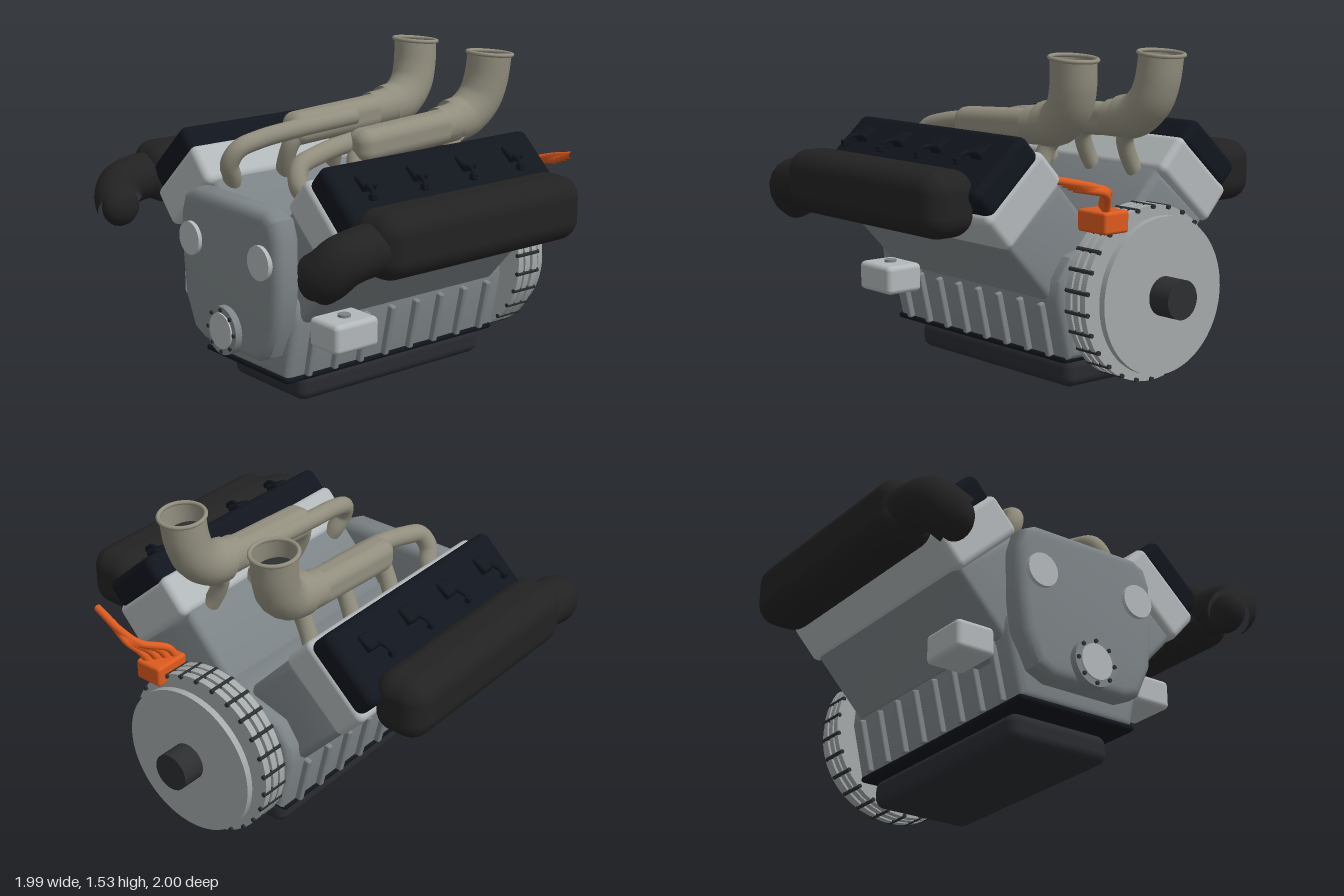
import * as THREE from 'three';
import { toCreasedNormals } from 'three/addons/utils/BufferGeometryUtils.js';
import { RoundedBoxGeometry } from 'three/addons/geometries/RoundedBoxGeometry.js';

const mat = (color, side = THREE.FrontSide) => new THREE.MeshStandardMaterial({ color, side });
const M = {
  block: mat(0x7d8487), head: mat(0xb2b7b9), cover: mat(0x11151d), manifold: mat(0x222222),
  pan: mat(0x292b30), intake: mat(0x918e7e, THREE.DoubleSide), wheel: mat(0xa4a9a9),
  orange: mat(0xdd5a1e), dark: mat(0x2c2e30),
};

export function createModel() {
  const root = new THREE.Group();
  root.name = 'engine';

  const add = (name, geo, material, pos = [0, 0, 0], rotX = 0) => {
    const m = new THREE.Mesh(geo, material);
    m.name = name;
    m.position.set(...pos);
    m.rotation.x = rotX;
    root.add(m);
    return m;
  };
  // Rounded box given by size and centre
  const rbox = (name, size, r, material, pos, rotX) =>
    add(name, new RoundedBoxGeometry(...size, 4, r), material, pos, rotX);
  // Cylinder lying along x, from x0 to x1
  const disc = (name, r, x0, x1, y, z, material, seg = 48) =>
    add(name, new THREE.CylinderGeometry(r, r, x1 - x0, seg).rotateZ(Math.PI / 2), material, [(x0 + x1) / 2, y, z]);
  const tube = (name, pts, r, material, seg = 40) =>
    add(name, new THREE.TubeGeometry(
      new THREE.CatmullRomCurve3(pts.map((p) => new THREE.Vector3(...p))), seg, r, 20), material);
  // (z, y) outline swept along x with rounded edges
  const sweep = (name, pts, x0, x1, bevel, material) => {
    const shape = new THREE.Shape(pts.map((p) => new THREE.Vector2(...p)));
    const geo = new THREE.ExtrudeGeometry(shape, {
      depth: x1 - x0 - 2 * bevel, bevelThickness: bevel, bevelSize: bevel, bevelOffset: -bevel, bevelSegments: 4,
    }).rotateY(-Math.PI / 2).translate(x1 - bevel, 0, 0);
    return add(name, toCreasedNormals(geo, 0.6), material);
  };
  const mirrored = (pts) => [...pts, ...pts.map(([z, y]) => [-z, y]).reverse()];

  // Crankcase, front cover and oil pan
  sweep('crankcase', mirrored([[0.31, 0.15], [0.37, 0.42], [0.36, 0.52], [0.29, 0.62], [0.07, 0.68]]),
    -0.72, 0.585, 0.04, M.block);
  sweep('frontCover', mirrored([[0.2, 0.23], [0.29, 0.27], [0.36, 0.42], [0.38, 0.6], [0.38, 0.83], [0.35, 0.92], [0.28, 0.955]]),
    -0.815, -0.67, 0.05, M.block);
  rbox('panGasket', [1.28, 0.03, 0.64], 0.014, M.cover, [-0.08, 0.148, 0]);
  rbox('oilPan', [1.13, 0.14, 0.54], 0.05, M.pan, [-0.035, 0.07, 0]);

  // Crank pulley and bosses on the front cover
  disc('crankSeal', 0.115, -0.85, -0.78, 0.34, 0, M.block);
  disc('crankSealCentre', 0.085, -0.858, -0.84, 0.34, 0, M.head);
  for (let i = 0; i < 8; i++) {
    const a = (i / 8) * Math.PI * 2;
    disc('sealBolt', 0.01, -0.858, -0.84, 0.34 + 0.1 * Math.cos(a), 0.1 * Math.sin(a), M.dark, 8);
  }

  for (const s of [1, -1]) {
    const tilt = 0.74 * s;
    disc('coverBoss', 0.08, -0.835, -0.78, 0.72, 0.27 * s, M.head, 32);

    // Cylinder bank, head and valve cover
    sweep('cylinderBank', [[0.05, 0.6], [0.07, 0.7], [0.31, 0.96], [0.63, 0.7], [0.38, 0.43], [0.2, 0.4]]
      .map(([z, y]) => [z * s, y]), -0.67, 0.51, 0.04, M.block);
    rbox('cylinderHead', [1.24, 0.21, 0.43], 0.035, M.head, [-0.08, 0.895, 0.525 * s], tilt);
    rbox('valveCover', [1.23, 0.15, 0.38], 0.04, M.cover, [-0.075, 1.01, 0.625 * s], tilt);

    // Ignition coils with their leads
    for (let i = 0; i < 4; i++) {
      const x = -0.52 + i * 0.293;
      rbox('ignitionCoil', [0.08, 0.06, 0.085], 0.012, M.cover, [x, 1.1, 0.63 * s], 0.5 * s);
      tube('coilLead', [[x - 0.02, 1.105, 0.64 * s], [x - 0.03, 1.1, 0.71 * s], [x - 0.04, 1.06, 0.745 * s]], 0.01, M.cover, 10);
      rbox('coilClip', [0.03, 0.03, 0.03], 0.006, M.cover, [x - 0.04, 1.07, 0.735 * s]);
    }

    // Exhaust manifold and its elbow
    rbox('exhaustManifold', [1.19, 0.3, 0.27], 0.1, M.manifold, [-0.11, 0.9, 0.865 * s]);
    tube('exhaustElbow', [[-0.6, 0.89, 0.865 * s], [-0.72, 0.885, 0.865 * s], [-0.83, 0.86, 0.855 * s],
      [-0.875, 0.81, 0.82 * s], [-0.89, 0.775, 0.77 * s]], 0.115, M.manifold);
    add('elbowEnd', new THREE.SphereGeometry(0.113, 24, 16).scale(0.85, 0.85, 0.6), M.manifold, [-0.89, 0.78, 0.775 * s]);

    // Ribs along the crankcase side
    for (let i = 0; i < 8; i++) {
      rbox('crankcaseRib', [0.03, 0.26, 0.05], 0.01, M.block, [-0.6 + i * 0.152, 0.285, 0.345 * s], 0.22 * s);
    }

    // Side mount with its bolt and arm
    rbox('sideMount', [0.25, 0.14, 0.2], 0.025, M.head, [-0.53, 0.4, 0.5 * s]);
    rbox('mountArm', [0.16, 0.1, 0.12], 0.02, M.block, [-0.53, 0.4, 0.38 * s]);
    add('mountBolt', new THREE.CylinderGeometry(0.03, 0.03, 0.02, 16), M.block, [-0.53, 0.472, 0.5 * s]);

    // Intake plenum, runners and horn
    rbox('intakePlenum', [0.66, 0.16, 0.15], 0.06, M.intake, [0.06, 1.175, 0.25 * s]).rotation.z = 0.05;
    tube('intakeRunner', [[0.1, 1.19, 0.2 * s], [-0.28, 1.17, 0.2 * s], [-0.46, 1.145, 0.22 * s], [-0.57, 1.11, 0.235 * s],
      [-0.6, 1.04, 0.265 * s], [-0.57, 0.97, 0.29 * s], [-0.55, 0.9, 0.33 * s]], 0.045, M.intake, 60);
    for (const x of [-0.24, 0.06, 0.36]) {
      tube('intakeLeg', [[x + 0.05, 1.17, 0.22 * s], [x - 0.01, 1.1, 0.24 * s], [x - 0.02, 1.0, 0.28 * s], [x, 0.9, 0.33 * s]],
        0.042, M.intake, 16);
    }
    tube('intakeNeck', [[0.25, 1.19, 0.25 * s], [0.35, 1.2, 0.245 * s], [0.45, 1.23, 0.24 * s]], 0.09, M.intake);
    tube('intakeHorn', [[0.34, 1.2, 0.24 * s], [0.43, 1.22, 0.24 * s], [0.51, 1.29, 0.25 * s], [0.545, 1.38, 0.26 * s],
      [0.56, 1.51, 0.27 * s]], 0.106, M.intake);
    add('hornRim', new THREE.TorusGeometry(0.108, 0.01, 12, 40).rotateX(Math.PI / 2).rotateZ(-0.1), M.intake, [0.56, 1.51, 0.27 * s]);
    add('throttleFlap', new THREE.CylinderGeometry(0.1, 0.1, 0.008, 32).rotateZ(-0.25), M.dark, [0.545, 1.4, 0.262 * s]);
  }

  // Flywheel: stacked rims joined by bolts, outer plate and shaft
  const cy = 0.455;
  disc('flywheelCore', 0.375, 0.665, 0.785, cy, 0, M.wheel, 64);
  for (const x of [0.66, 0.705, 0.755]) disc('flywheelRim', 0.402, x, x + 0.033, cy, 0, M.wheel, 64);
  for (let i = 0; i < 26; i++) {
    const a = (i / 26) * Math.PI * 2;
    disc('flywheelBolt', 0.011, 0.655, 0.8, cy + 0.396 * Math.cos(a), 0.396 * Math.sin(a), M.dark, 8);
  }
  disc('outerPlate', 0.36, 0.835, 0.867, cy, 0, M.wheel, 64);
  disc('outputShaft', 0.09, 0.86, 0.985, cy, 0, M.dark);

  // Connector box with four cables
  rbox('connectorBox', [0.185, 0.1, 0.145], 0.015, M.orange, [0.747, 0.81, 0.26]);
  for (let i = 0; i < 4; i++) {
    const x = 0.69 + i * 0.035;
    tube('cable', [[x, 0.84, 0.215 + i * 0.025], [x + 0.03, 0.9, 0.235 + i * 0.025], [0.83 + i * 0.01, 0.95, 0.31 + i * 0.015],
      [0.845, 0.985 - i * 0.006, 0.42], [0.815, 1.025 - i * 0.014, 0.59 - i * 0.03]], 0.018, M.orange, 30);
  }
  return root;
}
